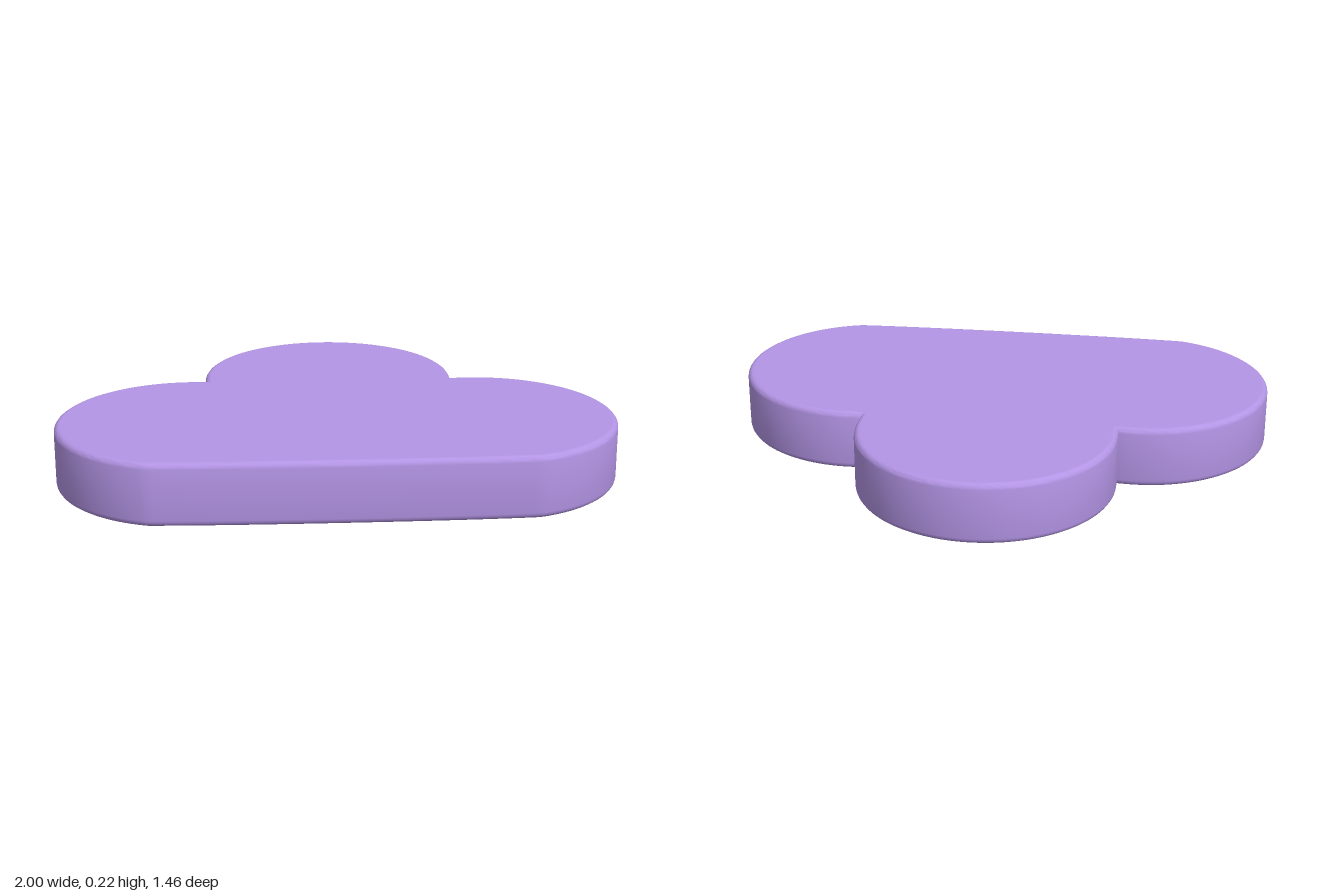
import * as THREE from 'three';
import { toCreasedNormals } from 'three/addons/utils/BufferGeometryUtils.js';

const HEIGHT = 0.225, BEVEL = 0.022, R = 0.47;

// Three-lobed cloud outline, drawn in x and z
function cloudOutline() {
  const s = new THREE.Shape();
  const a = 1.288; // angle where the side lobes meet the front edge
  const lobeX = 0.53, lobeZ = 0.262;
  s.moveTo(lobeX + R * Math.cos(a), lobeZ + R * Math.sin(a));
  s.absarc(lobeX, lobeZ, R, a, -Math.PI / 2 - 0.14, true);    // left lobe
  s.absarc(-0.005, -0.265, R, 0, -Math.PI, true);             // back lobe
  s.absarc(-lobeX, lobeZ, R, -Math.PI / 2 + 0.12, Math.PI - a, true); // right lobe
  // slightly bowed front edge
  s.bezierCurveTo(-0.4, 0.731, 0.4, 0.731, lobeX + R * Math.cos(a), lobeZ + R * Math.sin(a));
  return s;
}

export function createModel() {
  const group = new THREE.Group();
  group.name = 'cloud';

  // Slab with softly rounded rims
  const extruded = new THREE.ExtrudeGeometry(cloudOutline(), {
    depth: HEIGHT - 2 * BEVEL, curveSegments: 32,
    bevelEnabled: true, bevelThickness: BEVEL, bevelSize: BEVEL, bevelOffset: -BEVEL, bevelSegments: 4,
  });
  extruded.rotateX(Math.PI / 2).translate(0, HEIGHT - BEVEL, 0);
  const geometry = toCreasedNormals(extruded, 0.7);

  // Keep the top and bottom faces perfectly flat in shading
  const pos = geometry.attributes.position, normal = geometry.attributes.normal;
  for (let i = 0; i < pos.count; i++) {
    const y = pos.getY(i);
    if (y > HEIGHT - 1e-4) normal.setXYZ(i, 0, 1, 0);
    else if (y < 1e-4) normal.setXYZ(i, 0, -1, 0);
  }

  const slab = new THREE.Mesh(geometry, new THREE.MeshStandardMaterial({ color: 0xb495e6 }));
  slab.name = 'cloudSlab';
  group.add(slab);
  return group;
}
